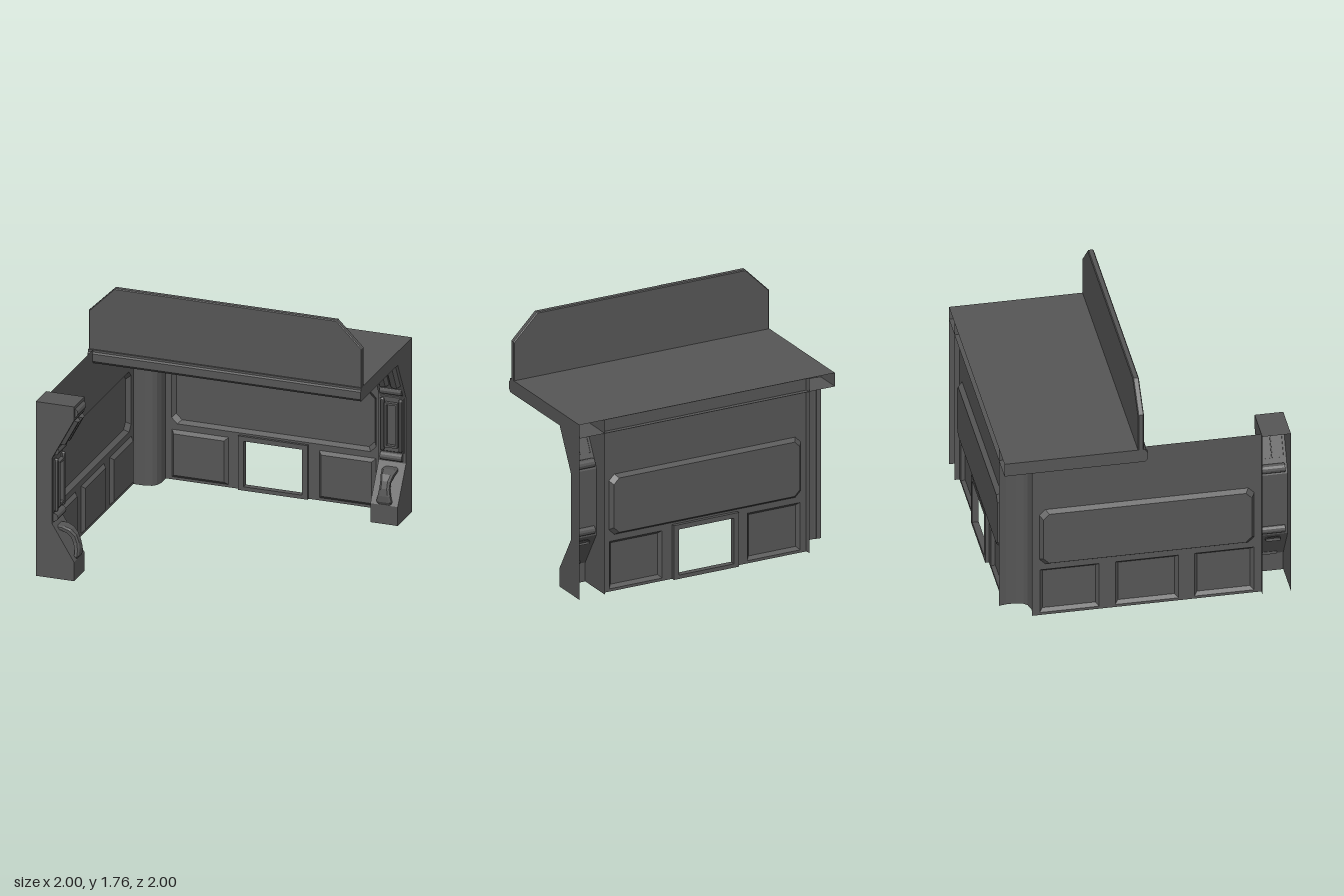
import * as THREE from 'three';

const mat = new THREE.MeshStandardMaterial({ color: 0x565656, flatShading: true, side: THREE.DoubleSide });

function add(parent, name, geometry, x = 0, y = 0, z = 0) {
  const mesh = new THREE.Mesh(geometry, mat);
  mesh.name = name;
  mesh.position.set(x, y, z);
  parent.add(mesh);
  return mesh;
}

// Skin between consecutive rings of [x, y, z] points
function loft(rings, closed = false) {
  const n = rings[0].length, index = [];
  for (let r = 0; r < rings.length - 1; r++) {
    for (let i = 0; i < (closed ? n : n - 1); i++) {
      const a = r * n + i, b = r * n + (i + 1) % n;
      index.push(a, b, b + n, a, b + n, a + n);
    }
  }
  const g = new THREE.BufferGeometry();
  g.setAttribute('position', new THREE.Float32BufferAttribute(rings.flat(2), 3));
  g.setIndex(index);
  g.computeVertexNormals();
  return g;
}

// Rectangle outline with optional cut corners
function outline(x0, x1, y0, y1, c = 0) {
  if (!c) return [[x0, y0], [x1, y0], [x1, y1], [x0, y1]];
  return [[x0 + c, y0], [x1 - c, y0], [x1, y0 + c], [x1, y1 - c],
    [x1 - c, y1], [x0 + c, y1], [x0, y1 - c], [x0, y0 + c]];
}
const shape = (pts) => new THREE.Shape(pts.map((p) => new THREE.Vector2(...p)));
const at = (pts, z) => pts.map(([x, y]) => [x, y, z]);

// Bevelled panel, raised or sunk from z0 to z1; returns its outline for cutting the wall
function panel(parent, name, [x0, x1, y0, y1], c, bevel, z0, z1) {
  const outer = outline(x0, x1, y0, y1, c);
  const inner = outline(x0 + bevel, x1 - bevel, y0 + bevel, y1 - bevel, c);
  add(parent, name + 'Bevel', loft([at(outer, z0), at(inner, z1)], true));
  add(parent, name, new THREE.ShapeGeometry(shape(inner)), 0, 0, z1);
  return outer;
}

const SURFACE = 0.035;

function makeWall(name, hasWindow) {
  const g = new THREE.Group();
  g.name = name;
  const holes = [panel(g, 'sunkenPanel', [-0.75, 0.75, 0.415, 0.86], 0.042, 0.022, SURFACE, 0.003)];
  for (const cx of [-0.54, 0, 0.54]) {
    if (cx === 0 && hasWindow) continue;
    const w = cx === 0 ? 0.22 : 0.207;
    holes.push(panel(g, 'raisedPanel', [cx - w, cx + w, 0.02, 0.37], 0, 0.022, SURFACE, 0.06));
  }
  if (hasWindow) {
    const opening = outline(-0.215, 0.215, 0.028, 0.365);
    holes.push(opening);
    const frame = shape(outline(-0.255, 0.255, 0, 0.4));
    frame.holes.push(shape(opening));
    add(g, 'windowFrame', new THREE.ExtrudeGeometry(frame, { depth: 0.045, bevelEnabled: false }), 0, 0, 0.01);
  }
  const face = shape(outline(-0.8, 0.8, 0, 1.29));
  face.holes.push(...holes.map(shape));
  add(g, 'wallFace', new THREE.ShapeGeometry(face), 0, 0, SURFACE);
  return g;
}

// Pillar: x runs outward from the wall, z across its width
function makePillar(name) {
  const g = new THREE.Group();
  g.name = name;
  const profile = [[0.28, 0], [0.28, 0.14], [0.12, 0.4], [0.12, 0.89], [0.28, 1.19], [0.28, 1.29], [0, 1.29]];
  add(g, 'pillarFront', loft([at(profile, -0.1), at(profile, 0.1)]));
  for (const z of [-0.1, 0.1]) {
    add(g, 'pillarSide', new THREE.ShapeGeometry(shape([[0, 0], ...profile])), 0, 0, z);
  }

  // Half-sunk horizontal rolls
  for (const [x, y, r] of [[0.265, 1.235, 0.036], [0.13, 0.935, 0.032], [0.125, 0.443, 0.03]]) {
    add(g, 'roll', new THREE.CylinderGeometry(r, r, 0.16, 12), x, y, 0).rotation.x = Math.PI / 2;
  }

  // Twin bevelled bars on the upper slope
  const tilt = -Math.atan2(0.16, 0.3);
  for (const z of [-0.042, 0.042]) {
    const s = [[-0.04, 0], [-0.02, 0.028], [0.02, 0.028], [0.04, 0]];
    const ring = (y) => s.map(([w, d]) => [d, y, w]);
    const bar = new THREE.Group();
    bar.name = 'slopeBar';
    bar.position.set(0.222, 1.085, z);
    bar.rotation.z = tilt;
    add(bar, 'barBody', loft([ring(-0.105), ring(0.105)]));
    for (const y of [-0.105, 0.105]) {
      add(bar, 'barEnd', loft([[ring(y)[0], ring(y)[3]], [ring(y)[1], ring(y)[2]]]));
    }
    g.add(bar);
  }

  // Middle plate with a rectangular frame and two slim rods
  const mid = new THREE.Group();
  mid.name = 'middlePlate';
  mid.rotation.y = Math.PI / 2;
  g.add(mid);
  panel(mid, 'plate', [-0.088, 0.088, 0.475, 0.885], 0, 0.005, 0.12, 0.126);
  const rim = shape(outline(-0.046, 0.046, 0.515, 0.845));
  rim.holes.push(shape(outline(-0.032, 0.032, 0.53, 0.83)));
  add(mid, 'plateFrame', new THREE.ExtrudeGeometry(rim, { depth: 0.03, bevelEnabled: false }), 0, 0, 0.125);
  for (const x of [-0.068, 0.068]) {
    add(mid, 'rod', new THREE.CapsuleGeometry(0.017, 0.36, 3, 8), x, 0.68, 0.138);
  }

  // Arched bracket above the foot: [outer x, outer y, inner x, inner y, half width]
  const stations = [[0.13, 0.372, 0.12, 0.345, 0.05], [0.185, 0.37, 0.165, 0.345, 0.054],
    [0.235, 0.35, 0.205, 0.325, 0.045], [0.268, 0.312, 0.235, 0.293, 0.036], [0.286, 0.262, 0.252, 0.25, 0.036],
    [0.294, 0.21, 0.262, 0.205, 0.045], [0.292, 0.165, 0.264, 0.165, 0.055], [0.278, 0.14, 0.262, 0.145, 0.048]];
  const rings = stations.map(([x, y, ix, iy, w]) => {
    const sx = x + (ix - x) * 0.3, sy = y + (iy - y) * 0.3;
    return [[ix, iy, -w], [sx, sy, -w], [x, y, -w + 0.015], [x, y, w - 0.015], [sx, sy, w], [ix, iy, w]];
  });
  add(g, 'archedBracket', loft(rings, true));
  return g;
}

export function createModel() {
  const model = new THREE.Group();
  model.name = 'roomCorner';

  const backWall = makeWall('backWall', true);
  backWall.position.z = -1;
  const sideWall = makeWall('sideWall', false);
  sideWall.position.x = -1;
  sideWall.rotation.y = Math.PI / 2;

  const frontPillar = makePillar('frontPillar');
  frontPillar.position.set(-1, 0, 0.9);
  const backPillar = makePillar('backPillar');
  backPillar.position.set(0.9, 0, -1);
  backPillar.rotation.y = -Math.PI / 2;
  model.add(backWall, sideWall, frontPillar, backPillar);

  // Faceted column filling the inner corner
  const half = [[-1, -0.8], [-0.95, -0.79], [-0.88, -0.79], [-0.83, -0.805]];
  const section = [...half, ...half.map(([x, z]) => [z, x]).reverse()];
  const columnRing = (y) => section.map(([x, z]) => [x, y, z]);
  add(model, 'cornerColumn', loft([columnRing(0), columnRing(1.29)]));

  // Roof slab, open at the back, as a (z, y) profile swept along x
  const roof = [[-1, 1.29], [-0.012, 1.29], [-0.012, 1.275], [0, 1.265], [0, 1.21], [-0.02, 1.19], [-1, 1.19]];
  const roofRing = (x) => roof.map(([z, y]) => [x, y, z]);
  add(model, 'roof', loft([roofRing(-1), roofRing(1)]));
  for (const x of [-1, 1]) {
    const end = add(model, 'roofEnd', new THREE.ShapeGeometry(shape(roof)), x, 0, 0);
    end.rotation.y = -Math.PI / 2;
  }

  // Upright board with cut upper corners
  const b = 0.006;
  const board = shape([[-1 + b, 1.285], [1 - b, 1.285], [1 - b, 1.572], [0.812, 1.76 - b], [-0.812, 1.76 - b], [-1 + b, 1.572]]);
  add(model, 'roofBoard', new THREE.ExtrudeGeometry(board, {
    depth: 0.03, bevelEnabled: true, bevelSize: b, bevelThickness: b, bevelSegments: 1,
  }), 0, 0, -0.062);
  return model;
}
